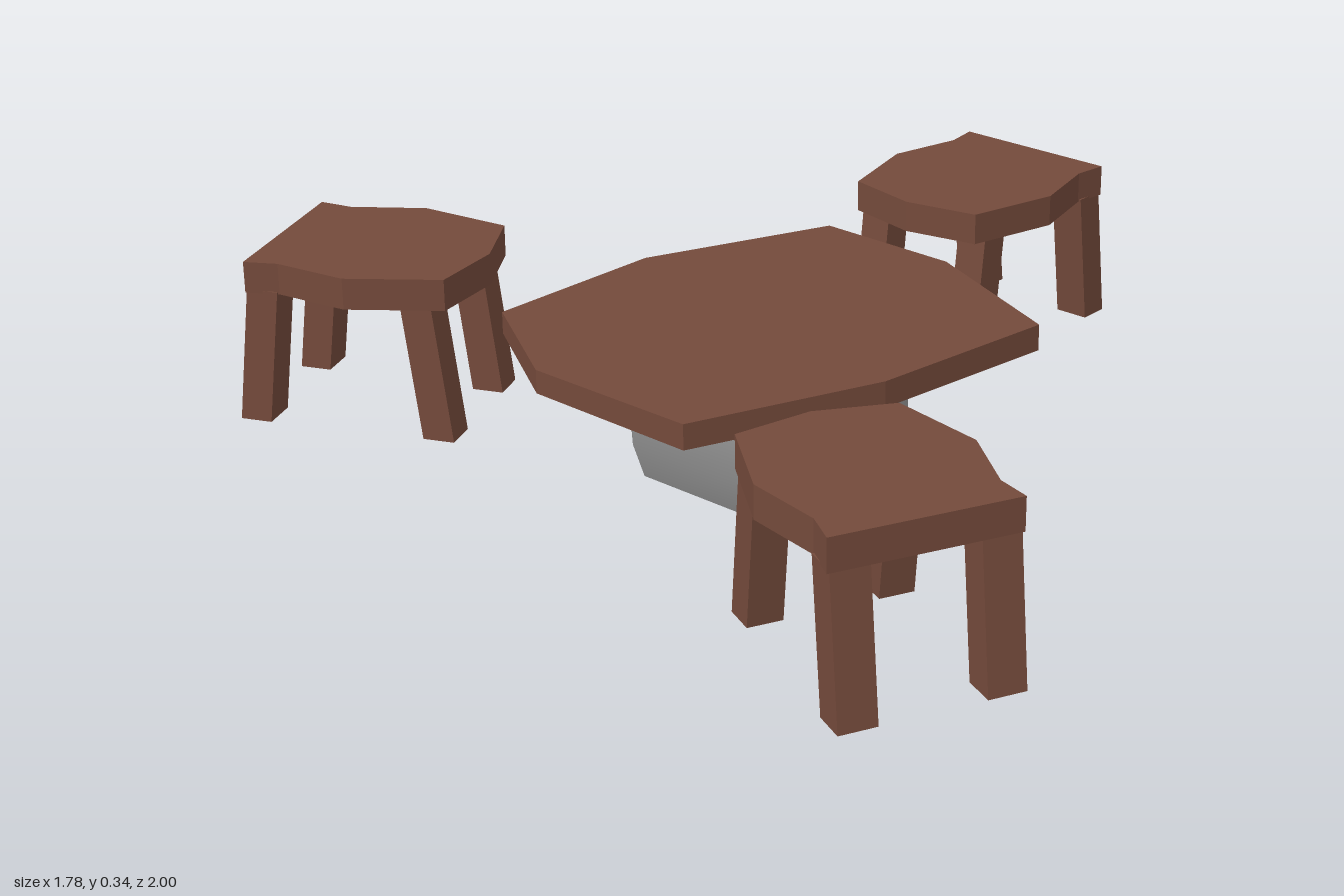
import * as THREE from 'three';

const wood = new THREE.MeshStandardMaterial({ color: 0x744a3b });
wood.name = 'brown wood';
const stone = new THREE.MeshStandardMaterial({ color: 0x8e8e8e });
stone.name = 'grey stone';

function add(parent, name, geometry, material) {
  const mesh = new THREE.Mesh(geometry, material);
  mesh.name = name;
  parent.add(mesh);
  return mesh;
}

// Skin rings of [x, y, z] points, listed bottom to top and clockwise from above.
function loft(rings, smooth) {
  const n = rings[0].length;
  const index = [];
  for (let r = 0; r < rings.length - 1; r++) {
    for (let i = 0; i < n; i++) {
      const j = (i + 1) % n, a = r * n, b = a + n;
      index.push(a + j, a + i, b + i, a + j, b + i, b + j);
    }
  }
  let geo = new THREE.BufferGeometry();
  geo.setAttribute('position', new THREE.Float32BufferAttribute(rings.flat(2), 3));
  geo.setIndex(index);
  if (!smooth) geo = geo.toNonIndexed();
  geo.computeVertexNormals();
  return geo;
}

// Ring scaled about a centre, at a height given by a rule.
function ring(outline, cx, cz, s, height) {
  return outline.map(([x, z]) => {
    const px = cx + (x - cx) * s, pz = cz + (z - cz) * s;
    return [px, height(px, pz), pz];
  });
}

// Square leg whose foot is shifted outwards.
function legGeometry(width, depth, height, lean) {
  const geo = new THREE.BoxGeometry(width, height, depth);
  geo.translate(0, height / 2, 0);
  const p = geo.attributes.position;
  for (let i = 0; i < p.count; i++) {
    p.setX(i, p.getX(i) + lean * (1 - p.getY(i) / height));
  }
  geo.computeVertexNormals();
  return geo;
}

// Stool with its straight back edge towards local +x.
function createStool() {
  const stool = new THREE.Group();
  const half = [[0.225, 0.18], [0.155, 0.17], [0, 0.207], [-0.193, 0.157]];
  const outline = [...half, [-0.225, 0], ...half.map(([x, z]) => [x, -z]).reverse()];
  const shape = new THREE.Shape(outline.map(([x, z]) => new THREE.Vector2(x, z)));
  const seat = new THREE.ExtrudeGeometry(shape, { depth: 0.065, bevelEnabled: false });
  seat.rotateX(-Math.PI / 2);
  seat.translate(0, 0.28, 0);
  add(stool, 'seat', seat, wood);
  for (const side of [-1, 1]) {
    const back = add(stool, 'backLeg', legGeometry(0.066, 0.074, 0.285, 0.035), wood);
    back.position.set(0.191, 0, side * 0.138);
    const front = add(stool, 'frontLeg', legGeometry(0.066, 0.07, 0.285, -0.035), wood);
    front.position.set(-0.132, 0, side * 0.128);
  }
  return stool;
}

export function createModel() {
  const model = new THREE.Group();

  // Irregular table slab with a shallow bulging underside
  const slab = [[-0.49, -0.335], [-0.1, -0.325], [0.283, -0.16], [0.272, 0.157],
    [0.12, 0.5], [-0.278, 0.447], [-0.653, 0.294], [-0.648, -0.08]];
  const top = (x, z) => 0.302 + 0.01 * z;
  const table = loft([
    ring(slab, -0.186, 0.08, 0, () => 0.234),
    ring(slab, -0.186, 0.08, 0.45, () => 0.235),
    ring(slab, -0.186, 0.08, 1, () => 0.254),
    ring(slab, -0.186, 0.08, 1, top),
    ring(slab, -0.186, 0.08, 0, top),
  ], false);
  add(model, 'tableTop', table, wood);

  // Rounded stone base
  const cx = -0.186, cz = 0.08;
  const rock = [[-0.225, -0.148], [-0.148, -0.228], [0.12, -0.228], [0.225, -0.12],
    [0.225, 0.148], [0.148, 0.23], [-0.12, 0.23], [-0.225, 0.12]]
    .map(([x, z]) => [x + cx, z + cz]);
  const level = (s, y) => ring(rock, cx, cz, s, () => y);
  add(model, 'stoneBase', loft([level(0.92, 0), level(1, 0.07), level(1, 0.18),
    level(0.83, 0.24)], true), stone);
  add(model, 'stoneUnderside', loft([level(0, 0), level(0.92, 0)], false), stone);

  // Three stools facing the table
  const places = [[0.63, -0.053, 0], [-0.464, -0.697, 114.3], [-0.626, 0.689, -114.6]];
  places.forEach(([x, z, degrees], i) => {
    const stool = createStool();
    stool.name = ['leftStool', 'backStool', 'frontStool'][i];
    stool.position.set(x, 0, z);
    stool.rotation.y = THREE.MathUtils.degToRad(degrees);
    model.add(stool);
  });
  return model;
}
